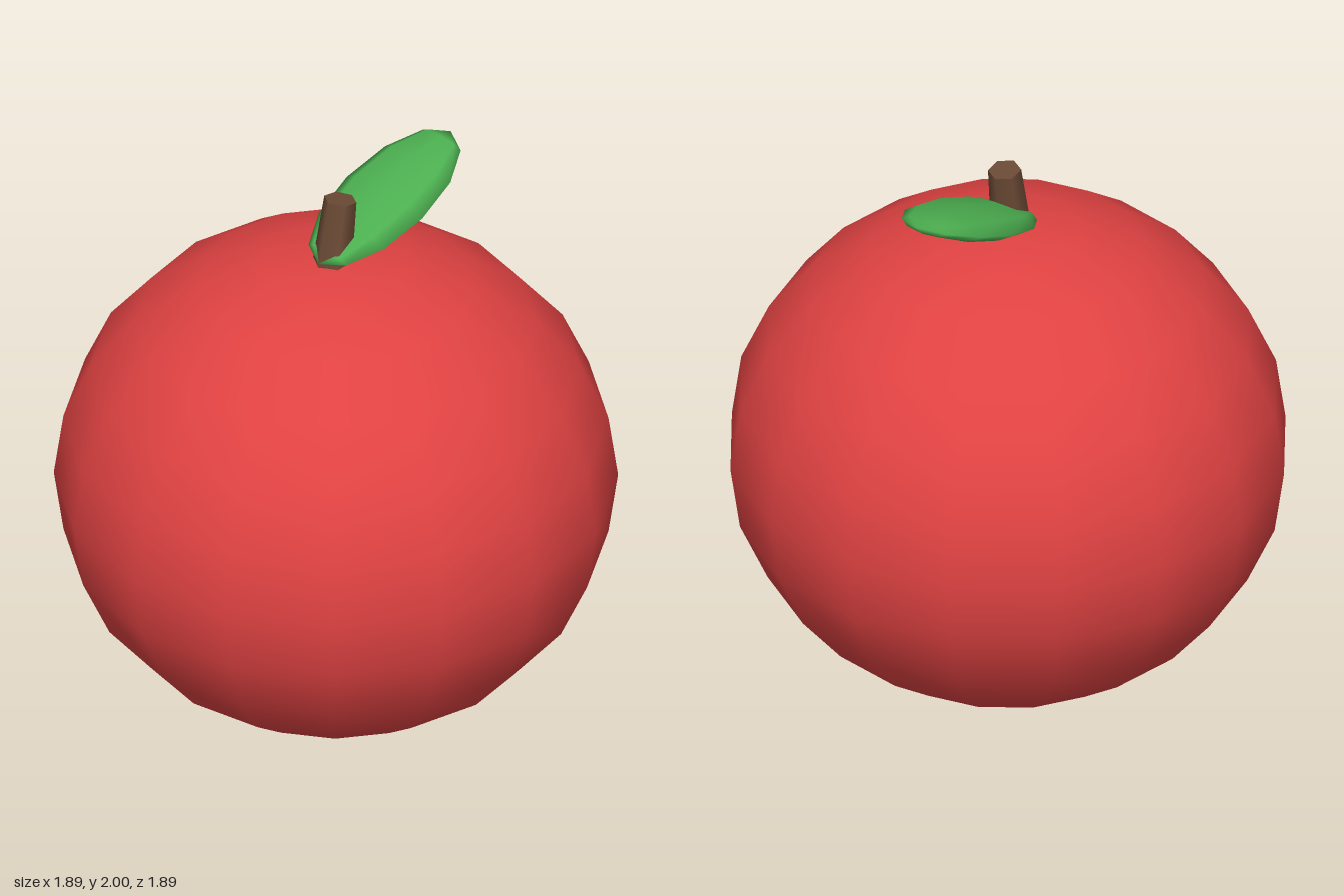
import * as THREE from 'three';

function material(name, color) {
  const m = new THREE.MeshStandardMaterial({ color });
  m.name = name;
  return m;
}

function part(name, geometry, mat) {
  const mesh = new THREE.Mesh(geometry, mat);
  mesh.name = name;
  return mesh;
}

export function createModel() {
  const red = material('fruit red', 0xe04242);
  const brown = material('stem brown', 0x6b4a35);
  const green = material('leaf green', 0x4caf50);

  const model = new THREE.Group();
  model.name = 'fruit';

  // Slightly squashed round body
  const body = part('body', new THREE.SphereGeometry(0.945, 16, 12), red);
  body.scale.y = 0.92;
  body.position.y = 0.87;

  // Short six-sided stem, tapered and leaning to the left
  const stemShape = new THREE.CylinderGeometry(0.056, 0.069, 0.26, 6, 1, false, Math.PI / 2);
  const stem = part('stem', stemShape, brown);
  stem.position.set(0.0, 1.827, 0);
  stem.rotation.z = -0.155;

  // Flat leaf: a low-poly ball with its poles at base and tip
  const leafShape = new THREE.SphereGeometry(1, 8, 6);
  leafShape.rotateZ(-Math.PI / 2);
  leafShape.scale(0.334, 0.05, 0.18);
  const leaf = part('leaf', leafShape, green);
  leaf.position.set(0.228, 1.867, 0);
  leaf.rotation.z = 0.38;

  model.add(body, stem, leaf);
  return model;
}
